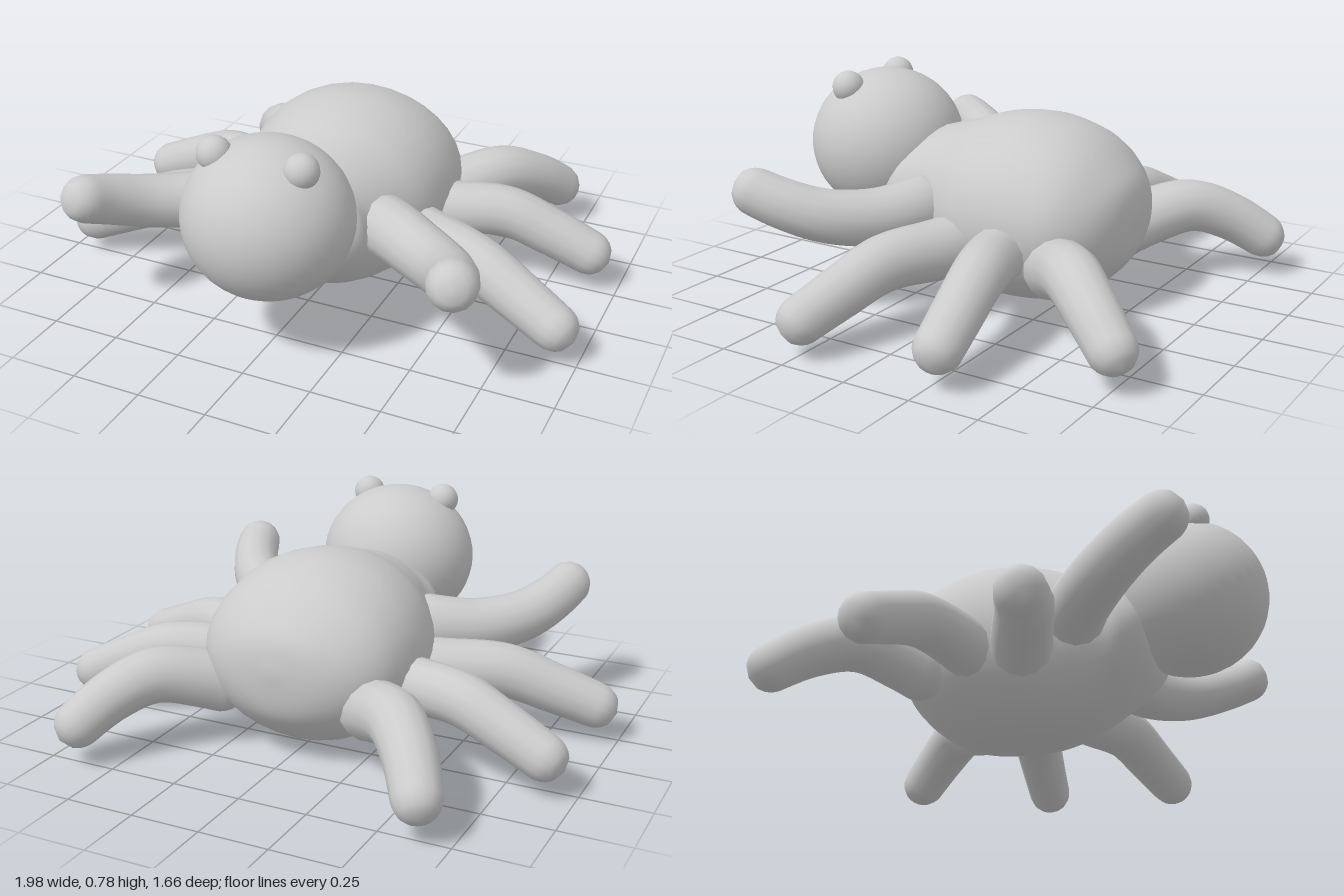
import * as THREE from 'three';
import { mergeVertices } from 'three/addons/utils/BufferGeometryUtils.js';
import { ParametricGeometry } from 'three/addons/geometries/ParametricGeometry.js';

const material = new THREE.MeshStandardMaterial({ color: 0xcccccc });

// Weld seams and poles, then shade smoothly.
function smooth(geometry) {
  geometry.deleteAttribute('normal');
  geometry.deleteAttribute('uv');
  const welded = mergeVertices(geometry, 1e-4);
  welded.computeVertexNormals();
  return welded;
}

function add(parent, name, geometry) {
  const mesh = new THREE.Mesh(geometry, material);
  mesh.name = name;
  parent.add(mesh);
  return mesh;
}

// Body rings from back to front: z, half width, bottom, top.
const bodyRings = [
  [-0.52, 0, 0.36, 0.36],
  [-0.5, 0.15, 0.22, 0.46],
  [-0.45, 0.265, 0.14, 0.53],
  [-0.37, 0.345, 0.07, 0.605],
  [-0.27, 0.38, 0.025, 0.655],
  [-0.13, 0.39, 0.005, 0.68],
  [0.02, 0.37, 0.005, 0.663],
  [0.15, 0.315, 0.035, 0.62],
  [0.27, 0.26, 0.095, 0.585],
  [0.35, 0.255, 0.155, 0.55],
  [0.42, 0.19, 0.24, 0.46],
  [0.45, 0, 0.35, 0.35],
];

function bodyGeometry() {
  const curve = (points) => new THREE.CatmullRomCurve3(points, false, 'catmullrom');
  const spine = curve(bodyRings.map(([z, , b, t]) => new THREE.Vector3(0, (b + t) / 2, z)));
  const size = curve(bodyRings.map(([, w, b, t]) => new THREE.Vector3(w, (t - b) / 2, 0)));
  return smooth(new ParametricGeometry((u, v, target) => {
    const c = spine.getPoint(v);
    const s = size.getPoint(v);
    const a = u * Math.PI * 2;
    target.set(s.x * Math.cos(a), c.y + s.y * Math.sin(a), c.z);
  }, 32, 44));
}

// Round-ended limb that narrows from r0 at the body to r1 at the tip.
function limbGeometry(points, r0, r1) {
  const rows = 48, sides = 14;
  const curve = new THREE.CatmullRomCurve3(points);
  const length = curve.getLength();
  const tube = new THREE.TubeGeometry(curve, rows, 1, sides);
  const pos = tube.attributes.position;
  const p = new THREE.Vector3();
  for (let i = 0; i < pos.count; i++) {
    const t = Math.floor(i / (sides + 1)) / rows;
    const centre = curve.getPointAt(t);
    const r = THREE.MathUtils.lerp(r0, r1, t);
    const d = Math.min(1, (Math.min(t, 1 - t) * length) / r);
    p.fromBufferAttribute(pos, i).sub(centre);
    p.multiplyScalar(r * Math.sqrt(Math.max(0, 1 - (1 - d) ** 2))).add(centre);
    pos.setXYZ(i, p.x, p.y, p.z);
  }
  return smooth(tube);
}

// Centre lines of the left legs, from the body to the tip.
const legs = [
  { name: 'frontLeg', r0: 0.115, r1: 0.082,
    path: [[0.17, 0.36, 0.17], [0.3, 0.35, 0.21], [0.43, 0.34, 0.285], [0.56, 0.36, 0.4], [0.64, 0.405, 0.52], [0.7, 0.475, 0.69]] },
  { name: 'secondLeg', r0: 0.115, r1: 0.08,
    path: [[0.22, 0.25, -0.01], [0.4, 0.25, 0.055], [0.6, 0.245, 0.135], [0.77, 0.185, 0.19], [0.985, 0.1, 0.26]] },
  { name: 'thirdLeg', r0: 0.105, r1: 0.08,
    path: [[0.22, 0.25, -0.15], [0.4, 0.265, -0.185], [0.58, 0.265, -0.235], [0.75, 0.2, -0.265], [0.96, 0.105, -0.295]] },
  { name: 'backLeg', r0: 0.115, r1: 0.08,
    path: [[0.22, 0.19, -0.29], [0.34, 0.245, -0.405], [0.46, 0.275, -0.52], [0.56, 0.225, -0.64], [0.67, 0.1, -0.81]] },
];

export function createModel() {
  const model = new THREE.Group();
  model.name = 'spider';

  add(model, 'body', bodyGeometry());

  const head = add(model, 'head', new THREE.SphereGeometry(1, 36, 24));
  head.scale.set(0.295, 0.277, 0.286);
  head.position.set(0, 0.493, 0.54);

  for (const [side, label] of [[1, 'left'], [-1, 'right']]) {
    const eye = add(model, `${label}Eye`, new THREE.SphereGeometry(0.06, 18, 12));
    eye.position.set(side * 0.157, 0.72, 0.603);

    for (const { name, path, r0, r1 } of legs) {
      const points = path.map(([x, y, z]) => new THREE.Vector3(side * x, y, z));
      add(model, `${label} ${name}`, limbGeometry(points, r0, r1));
    }
  }
  return model;
}
